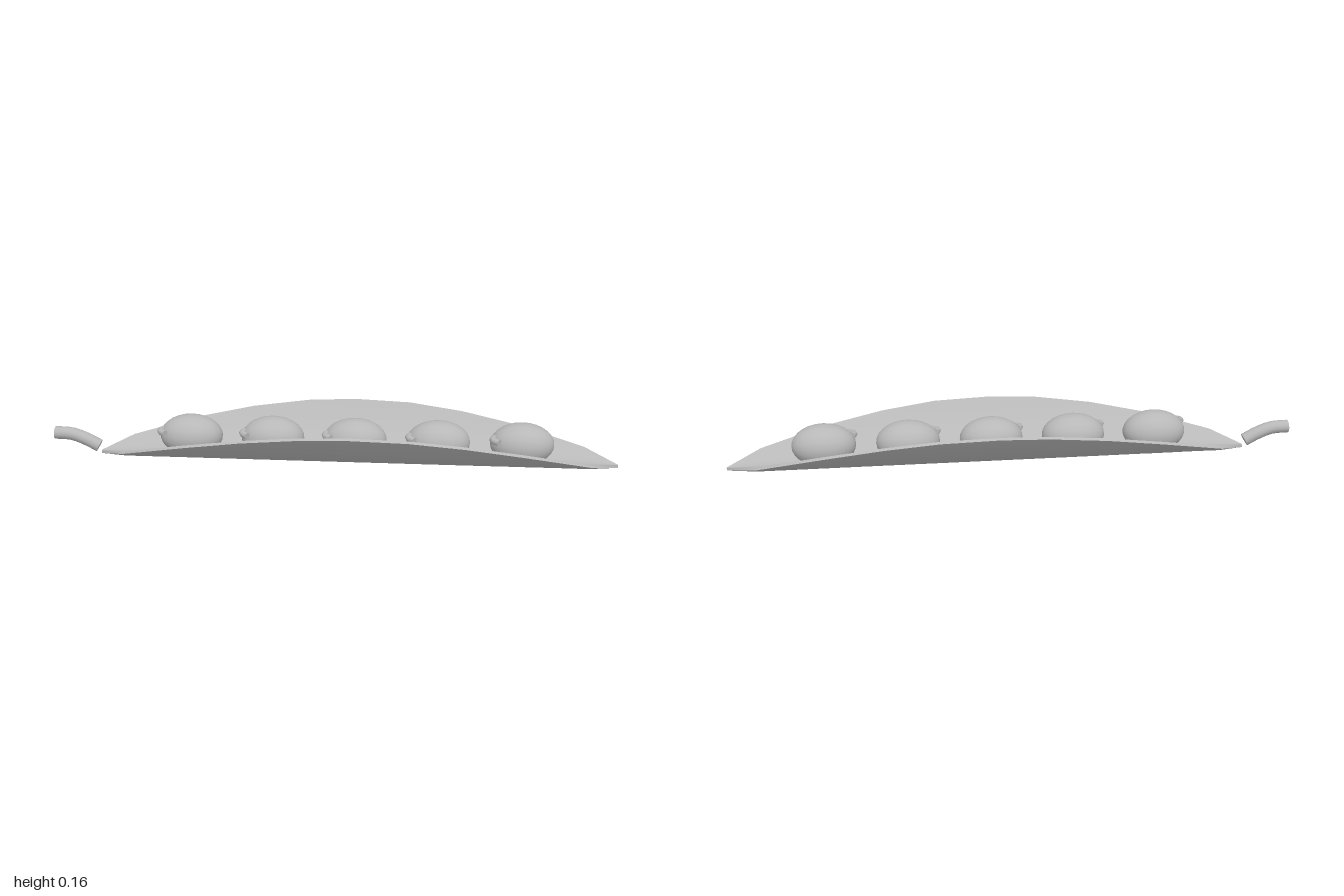
import * as THREE from 'three';
import { mergeGeometries } from 'three/addons/utils/BufferGeometryUtils.js';

const grey = new THREE.MeshStandardMaterial({ color: 0xb8b8b8 });
grey.name = 'plain grey';

// Smooth surface through rows of points, one row per station
function surface(rows, flip) {
  const n = rows[0].length, index = [];
  for (let i = 0; i < rows.length - 1; i++) {
    for (let j = 0; j < n - 1; j++) {
      const a = i * n + j, b = a + n, c = a + 1, d = b + 1;
      if (flip) index.push(a, c, b, b, c, d);
      else index.push(a, b, c, b, d, c);
    }
  }
  const g = new THREE.BufferGeometry().setFromPoints(rows.flat());
  g.setIndex(index);
  g.computeVertexNormals();
  return g;
}

// Open pod: curved shell that narrows to a point at both ends
function podGeometry() {
  const stations = [
    [-0.83, 0.006], [-0.73, 0.09], [-0.5, 0.153], [-0.3, 0.185], [-0.1, 0.203], [0.07, 0.208],
    [0.27, 0.203], [0.46, 0.185], [0.66, 0.153], [0.89, 0.09], [1.0, 0.003],
  ];
  const wall = 0.01, power = 1.8, steps = 16;
  const outer = [], inner = [];
  for (const [x, w] of stations) {
    const h = 0.153 * Math.pow(w / 0.208, power);
    const o = [], n = [];
    for (let j = 0; j <= steps; j++) {
      const s = (j / steps) * 2 - 1, a = Math.abs(s);
      const z = w * s, y = h * Math.pow(a, power);
      const slope = (h / w) * power * Math.pow(a, power - 1) * Math.sign(s);
      const len = Math.hypot(1, slope);
      o.push(new THREE.Vector3(x, y, z));
      n.push(new THREE.Vector3(x, y + wall / len, z - (wall * slope) / len));
    }
    outer.push(o);
    inner.push(n);
  }
  const rim = (j) => outer.map((o, i) => [o[j], inner[i][j]]);
  return mergeGeometries([
    surface(outer, false), surface(inner, true),
    surface(rim(steps), false), surface(rim(0), true),
  ]);
}

// Round tube along a curve with flat ends
function cappedTube(points, radius, segments, sides) {
  const curve = new THREE.CatmullRomCurve3(points.map((p) => new THREE.Vector3(...p)));
  const parts = [new THREE.TubeGeometry(curve, segments, radius, sides)];
  for (const t of [0, 1]) {
    const direction = curve.getTangent(t).multiplyScalar(t ? 1 : -1);
    const q = new THREE.Quaternion().setFromUnitVectors(new THREE.Vector3(0, 0, 1), direction);
    const p = curve.getPoint(t);
    parts.push(new THREE.CircleGeometry(radius, sides).applyQuaternion(q).translate(p.x, p.y, p.z));
  }
  return mergeGeometries(parts);
}

export function createModel() {
  const model = new THREE.Group();
  model.name = 'peaPod';
  const add = (parent, geometry, name) => {
    const mesh = new THREE.Mesh(geometry, grey);
    mesh.name = name;
    parent.add(mesh);
    return mesh;
  };

  add(model, podGeometry(), 'pod');

  // Bent stalk at the left tip
  add(model, cappedTube([
    [-0.838, 0.027, 0], [-0.885, 0.052, 0], [-0.935, 0.07, 0], [-0.995, 0.073, 0],
  ], 0.023, 8, 12), 'stalk');

  // Row of oval peas, each with a small nub at one end
  const peaShape = new THREE.SphereGeometry(1, 18, 14).rotateZ(Math.PI / 2).scale(0.111, 0.075, 0.078);
  const nubShape = cappedTube([
    [-0.098, 0.024, 0.014], [-0.104, 0.024, 0.034], [-0.083, 0.022, 0.056],
  ], 0.012, 6, 8);
  for (let i = 0; i < 5; i++) {
    const pea = new THREE.Group();
    pea.name = 'pea' + (i + 1);
    pea.position.set(-0.5 + i * 0.291, 0.079, 0);
    add(pea, peaShape, 'peaBody');
    add(pea, nubShape, 'peaNub');
    model.add(pea);
  }
  return model;
}
